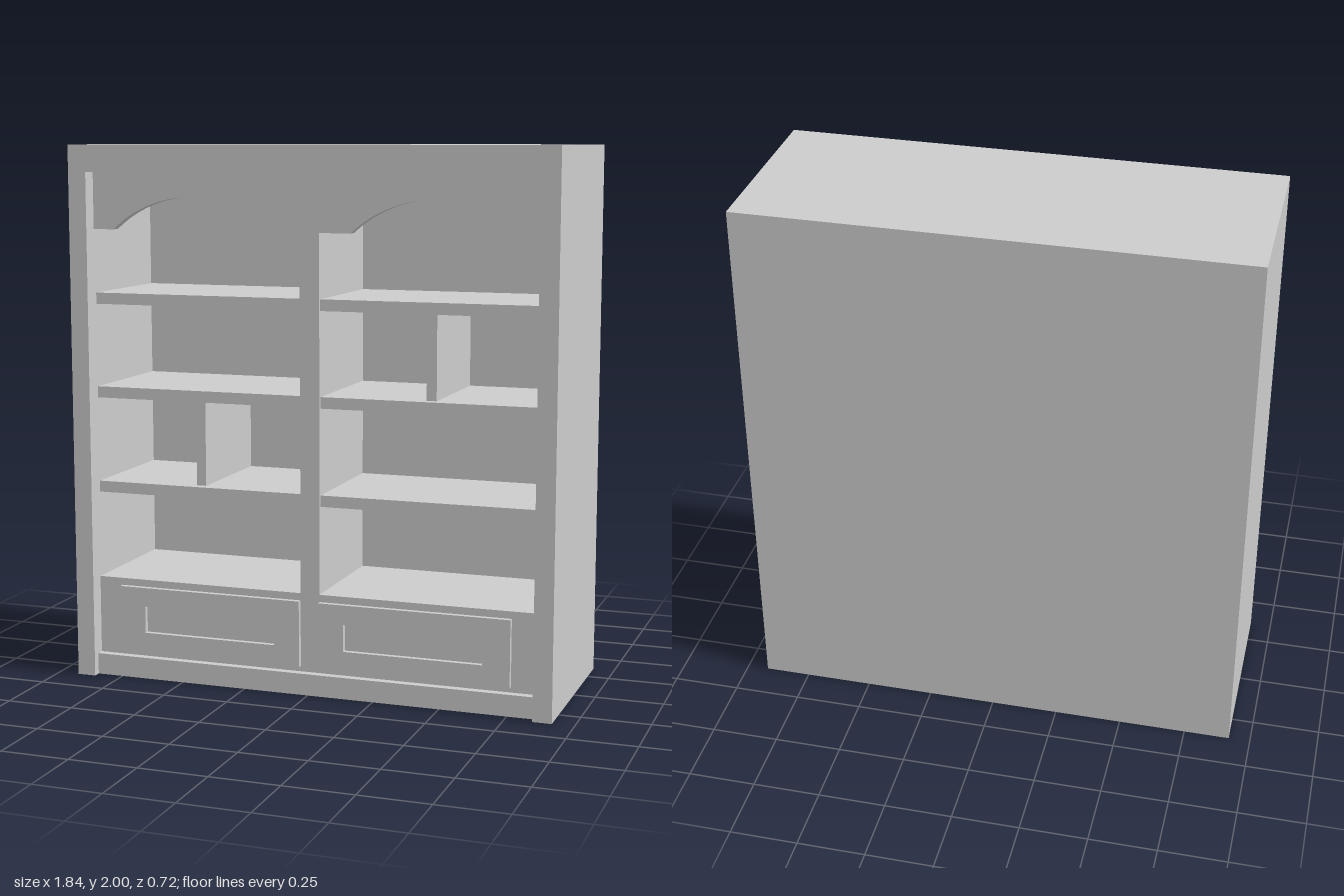
import * as THREE from 'three';

const W = 0.92, IN = 0.85, DIV = 0.037;   // half width, inner half width, half divider
const FRONT = 0.36, FACE = 0.30, BACK = -0.19;

export function createModel() {
  const model = new THREE.Group();
  const mat = new THREE.MeshStandardMaterial({ color: 0xcccccc, flatShading: true });

  const add = (name, geo) => {
    const mesh = new THREE.Mesh(geo, mat);
    mesh.name = name;
    model.add(mesh);
    return mesh;
  };
  // Box given by its limits on each axis
  const box = (name, x0, x1, y0, y1, z0, z1) =>
    add(name, new THREE.BoxGeometry(x1 - x0, y1 - y0, z1 - z0))
      .position.set((x0 + x1) / 2, (y0 + y1) / 2, (z0 + z1) / 2);
  // Flat board cut from a shape, between two depths
  const board = (name, shape, z0, z1) =>
    add(name, new THREE.ExtrudeGeometry(shape, { depth: z1 - z0, bevelEnabled: false, curveSegments: 20 }))
      .position.z = z0;
  const rect = (Type, x0, x1, y0, y1) => new Type([
    [x0, y0], [x1, y0], [x1, y1], [x0, y1],
  ].map(([x, y]) => new THREE.Vector2(x, y)));

  // Carcass
  box('leftSide', IN, W, 0, 2, -FRONT, FRONT);
  box('rightSide', -W, -IN, 0, 2, -FRONT, FRONT);
  box('top', -IN, IN, 1.9, 2, -FRONT, FRONT);
  box('back', -IN, IN, 0, 1.9, -FRONT, BACK);
  box('plinth', -IN, IN, 0, 0.08, BACK, 0.33);
  box('drawerCase', -IN, IN, 0.08, 0.375, BACK, 0.26);
  box('centreDivider', -DIV, DIV, 0.375, 1.9, BACK, 0.26);

  // Face frame: drawer front panel, centre stile and two arched valances
  const spring = 1.69, rise = 0.12, half = 0.308, mid = 0.462;
  const radius = (half * half + rise * rise) / (2 * rise);
  const angle = Math.asin(half / radius);
  const cy = spring + rise - radius;
  const arch = (s, x) =>
    s.absarc(x, cy, radius, Math.PI / 2 + angle, Math.PI / 2 - angle, true);
  const frame = new THREE.Shape();
  frame.moveTo(-IN, 0.08);
  frame.lineTo(IN, 0.08);
  frame.lineTo(IN, 0.375);
  frame.lineTo(DIV, 0.375);
  frame.lineTo(DIV, spring);
  arch(frame, mid);
  frame.lineTo(IN, spring);
  frame.lineTo(IN, 1.9);
  frame.lineTo(-IN, 1.9);
  frame.lineTo(-IN, spring);
  arch(frame, -mid);
  frame.lineTo(-DIV, spring);
  frame.lineTo(-DIV, 0.375);
  frame.lineTo(-IN, 0.375);
  frame.closePath();
  board('faceFrame', frame, 0.26, FACE);

  for (const [side, s] of [['left', 1], ['right', -1]]) {
    const span = (a, b) => (s > 0 ? [a, b] : [-b, -a]);

    // Shelves
    for (const y of [0.70, 1.06, 1.412])
      box(side + 'Shelf', ...span(DIV, IN), y, y + 0.042, BACK, 0.29);

    // Drawer front with a sunken centre panel
    const front = rect(THREE.Shape, ...span(DIV, 0.757), 0.10, 0.348);
    front.holes.push(rect(THREE.Path, ...span(0.135, 0.655), 0.175, 0.275));
    board(side + 'DrawerFront', front, FACE, 0.32);
  }

  // Small upright partitions between shelves
  box('leftPartition', 0.425, 0.462, 1.102, 1.412, BACK, 0.255);
  box('rightPartition', -0.465, -0.428, 0.742, 1.06, BACK, 0.255);

  return model;
}
